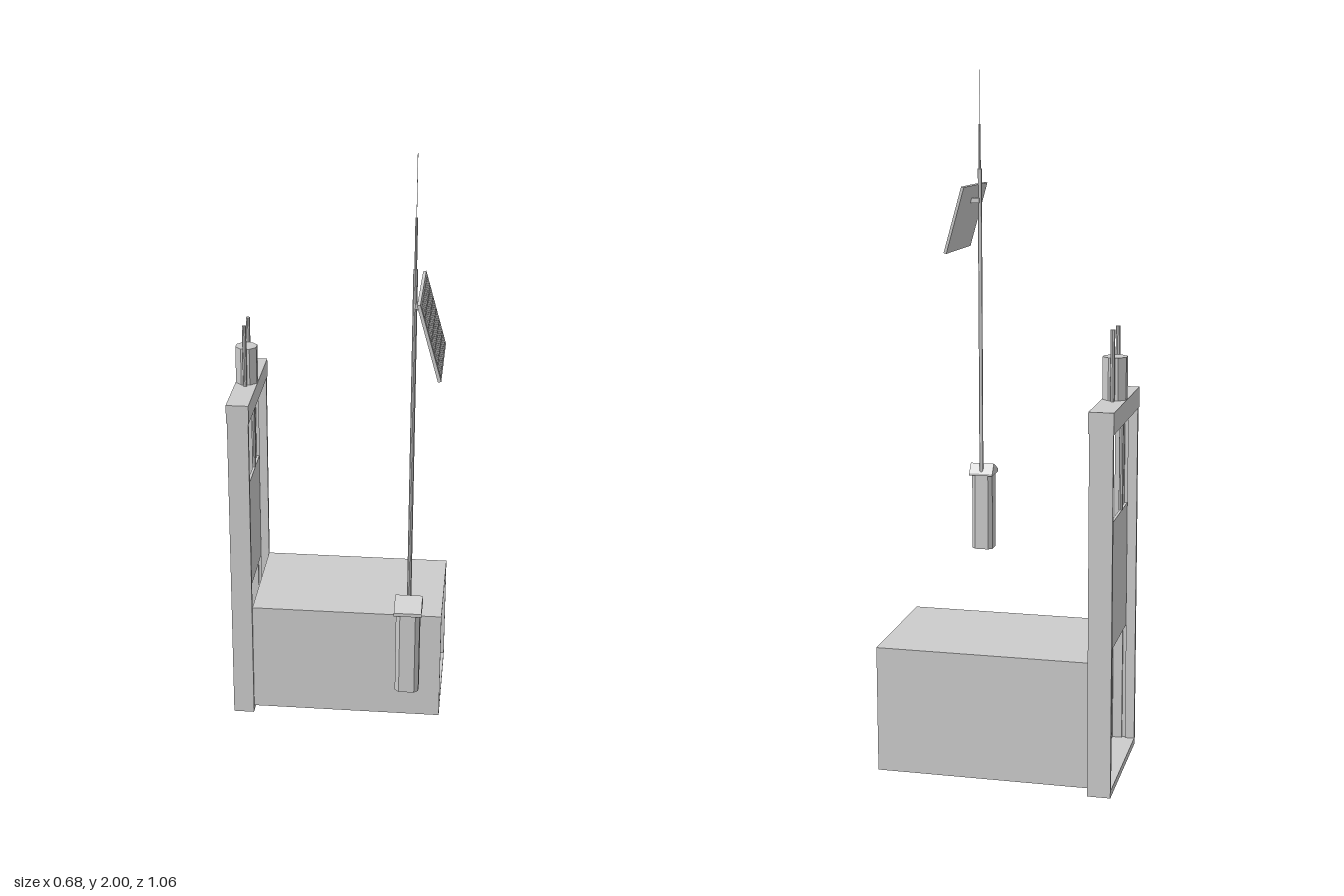
import * as THREE from 'three';

const mat = new THREE.MeshStandardMaterial({ color: 0xcccccc, flatShading: true });

function add(parent, name, geometry, x = 0, y = 0, z = 0) {
  const mesh = new THREE.Mesh(geometry, mat);
  mesh.name = name;
  mesh.position.set(x, y, z);
  parent.add(mesh);
  return mesh;
}

// Box given by its minimum and maximum corners
function block(parent, name, [x0, y0, z0], [x1, y1, z1]) {
  return add(parent, name, new THREE.BoxGeometry(x1 - x0, y1 - y0, z1 - z0),
    (x0 + x1) / 2, (y0 + y1) / 2, (z0 + z1) / 2);
}

// Upright rod from y0 to y1
function rod(parent, name, r, y0, y1, x, z, sides = 8) {
  return add(parent, name, new THREE.CylinderGeometry(r, r, y1 - y0, sides), x, (y0 + y1) / 2, z);
}

const polygon = pts => new THREE.Shape(pts.map(([x, y]) => new THREE.Vector2(x, y)));
const extrude = (shape, depth) => new THREE.ExtrudeGeometry(shape, { depth, bevelEnabled: false });

function rect(w, h) {
  return [[-w / 2, -h / 2], [w / 2, -h / 2], [w / 2, h / 2], [-w / 2, h / 2]];
}

// Gate: frame, sliding plate, lift motor and the culvert behind it
function createGate() {
  const gate = new THREE.Group();
  gate.name = 'sluiceGate';
  const cx = -0.307, cz = -0.315;

  // Channel-section posts, open towards the plate
  for (const s of [-1, 1]) {
    const profile = polygon([
      [-0.033, 0], [0.033, 0], [0.033, 0.013], [0.005, 0.013], [0.005, 0.005],
      [-0.005, 0.005], [-0.005, 0.013], [-0.033, 0.013],
    ]);
    const geo = extrude(profile, 1.03).rotateX(-Math.PI / 2);
    const post = add(gate, 'framePost', geo, cx, 0, cz + s * 0.21);
    if (s < 0) post.rotation.y = Math.PI;
  }
  block(gate, 'sill', [-0.34, 0, -0.525], [-0.274, 0.02, -0.105]);
  block(gate, 'topBeam', [-0.342, 1.03, -0.528], [-0.272, 1.09, -0.102]);
  block(gate, 'gatePlate', [cx - 0.004, 0.372, -0.52], [cx + 0.004, 0.745, -0.11]);
  for (const s of [-1, 1]) {
    rod(gate, 'liftRod', 0.0065, 0.745, 1.03, cx, cz + s * 0.114);
    rod(gate, 'screwStem', 0.0065, 1.09, 1.29, cx, cz + s * 0.042);
  }
  const motor = rod(gate, 'liftMotor', 0.036, 1.09, 1.21, cx, cz);
  motor.rotation.y = Math.PI / 8;

  // Open rectangular culvert along x
  const tube = polygon(rect(0.4, 0.365));
  tube.holes.push(new THREE.Path(rect(0.378, 0.342).reverse().map(([x, y]) => new THREE.Vector2(x, y))));
  add(gate, 'culvert', extrude(tube, 0.61).rotateY(Math.PI / 2), -0.274, 0.2025, cz);
  return gate;
}

// Mast with control cabinet, solar panel and whip antenna
function createMast() {
  const mast = new THREE.Group();
  mast.name = 'controlMast';
  const px = 0.257, pz = 0.38;

  rod(mast, 'pole', 0.0065, 0.69, 1.69, px, pz, 10);
  rod(mast, 'antennaBase', 0.0035, 1.69, 1.83, px, pz);
  rod(mast, 'antennaWhip', 0.0008, 1.83, 2, px, pz, 6);

  // Cabinet with chamfered corners
  const a = 0.034, b = 0.022;
  const octagon = polygon([[-b, -a], [b, -a], [a, -b], [a, b], [b, a], [-b, a], [-a, b], [-a, -b]]);
  add(mast, 'cabinet', extrude(octagon, 0.255).rotateX(-Math.PI / 2), px, 0.44, 0.411);

  // Off-centre pitched cap, extruded along x
  const roof = polygon([[-0.452, 0.69], [-0.37, 0.69], [-0.37, 0.697], [-0.392, 0.728], [-0.452, 0.7]]);
  add(mast, 'cabinetRoof', extrude(roof, 0.078).rotateY(Math.PI / 2), 0.218, 0, 0);

  // Tilted solar panel
  const panel = new THREE.Group();
  panel.name = 'solarPanel';
  panel.position.set(0.304, 1.536, pz);
  panel.rotation.z = 0.275;
  block(panel, 'panelBoard', [-0.005, -0.108, -0.15], [0.004, 0.108, 0.15]);
  const rows = 6, cols = 9, ch = 0.2 / rows, cw = 0.284 / cols;
  for (let r = 0; r < rows; r++) {
    for (let c = 0; c < cols; c++) {
      add(panel, 'solarCell', new THREE.BoxGeometry(0.001, ch - 0.003, cw - 0.003),
        0.0045, -0.1 + (r + 0.5) * ch, -0.142 + (c + 0.5) * cw);
    }
  }
  mast.add(panel);
  block(mast, 'panelBracket', [px, 1.582, pz - 0.01], [0.287, 1.598, pz + 0.01]);
  return mast;
}

export function createModel() {
  const model = new THREE.Group();
  model.name = 'sluiceGateStation';
  model.add(createGate(), createMast());
  return model;
}
